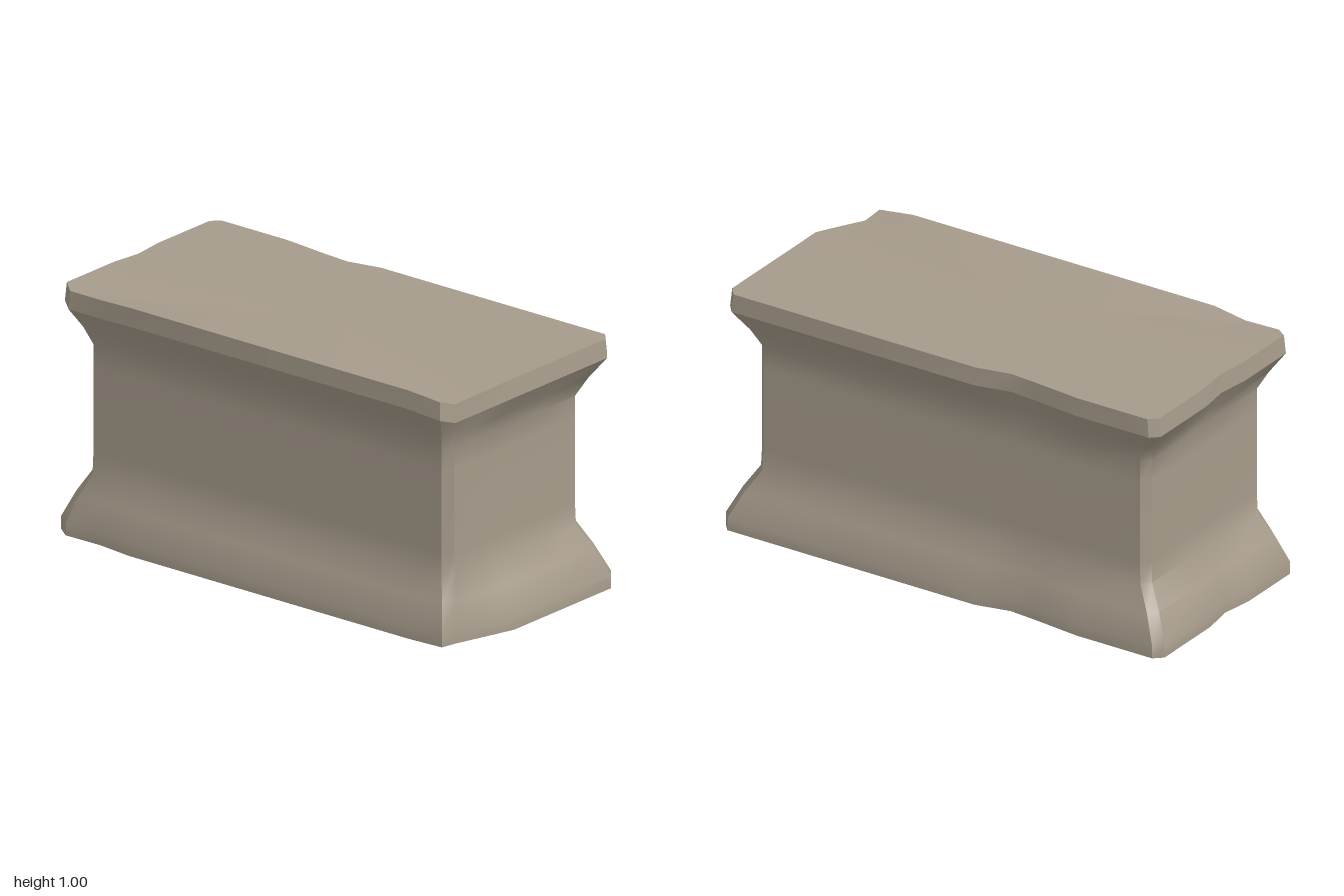
import * as THREE from 'three';
import { toCreasedNormals } from 'three/addons/utils/BufferGeometryUtils.js';

// Half sizes of the narrow waist
const WX = 0.885, WZ = 0.39;

// Chipped outline, front edge then anticlockwise from above:
// x, z, drop of the lid here, and for the corners the waist x, z
const OUTLINE = [
  [-1, 0.41, 0, -0.885, 0.355], [-0.94, 0.455, 0.01, -0.855, 0.39],
  [-0.77, 0.452, 0.012], [-0.62, 0.47, 0], [0, 0.47, 0], [0.75, 0.47, 0],
  [0.91, 0.46, 0.015, 0.85, 0.39], [0.925, 0.39, 0.038, 0.885, 0.355],
  [0.965, 0.26, 0.018], [1, 0.14, 0], [1, -0.15, 0],
  [1, -0.43, 0, 0.885, -0.355], [0.965, -0.472, 0, 0.855, -0.39],
  [0.4, -0.472, 0], [-0.16, -0.472, 0], [-0.3, -0.44, 0], [-0.42, -0.45, 0],
  [-0.62, -0.472, 0], [-0.965, -0.472, 0, -0.855, -0.39],
  [-1, -0.44, 0, -0.885, -0.355], [-1, -0.13, 0], [-0.98, 0, 0], [-1, 0.13, 0],
];

// One ring at height y; fx and fz blend from the waist (0) to the full outline (1)
function ring([y, fx, fz, drop = 0]) {
  return OUTLINE.map(([x, z, d, cx, cz]) => {
    const wx = cx ?? THREE.MathUtils.clamp(x, -WX, WX);
    const wz = cz ?? THREE.MathUtils.clamp(z, -WZ, WZ);
    return [wx + (x - wx) * fx, y - d * drop, wz + (z - wz) * fz];
  });
}

function geometryFrom(points) {
  const geometry = new THREE.BufferGeometry();
  geometry.setAttribute('position', new THREE.Float32BufferAttribute(points.flat(), 3));
  return toCreasedNormals(geometry, 0.65);
}

// Wall through a stack of rings
function wall(levels) {
  const rings = levels.map(ring), points = [];
  for (let k = 0; k + 1 < rings.length; k++) {
    const a = rings[k], b = rings[k + 1];
    a.forEach((p, i) => {
      const j = (i + 1) % a.length;
      points.push(p, a[j], b[j], p, b[j], b[i]);
    });
  }
  return geometryFrom(points);
}

// Fan that closes a ring
function cap(level, up) {
  const r = ring(level), centre = [0, level[0], 0.05], points = [];
  r.forEach((p, i) => {
    const q = r[(i + 1) % r.length];
    points.push(centre, up ? p : q, up ? q : p);
  });
  return geometryFrom(points);
}

export function createModel() {
  const group = new THREE.Group();
  group.name = 'stoneBlock';
  const stone = new THREE.MeshStandardMaterial({ color: 0xa69b8b });
  stone.name = 'stone';
  const add = (name, geometry) => {
    const mesh = new THREE.Mesh(geometry, stone);
    mesh.name = name;
    group.add(mesh);
  };

  const foot = [0, 1, 1];
  const lidBottom = [0.925, 0.84, 0.97, 1];
  const lidTop = [1, 0.77, 0.94, 1];

  // Flared foot, straight waist and flare under the lid
  add('body', wall([
    foot, [0.05, 1, 1], [0.16, 0.53, 0.5], [0.25, 0.03, 0.03], [0.34, 0, 0],
    [0.68, 0, 0], [0.77, 0, 0], [0.845, 0.36, 0.38, 0.3], lidBottom,
  ]));
  add('lidRim', wall([lidBottom, lidTop]));
  add('lidTop', cap(lidTop, true));
  add('underside', cap(foot, false));
  return group;
}
